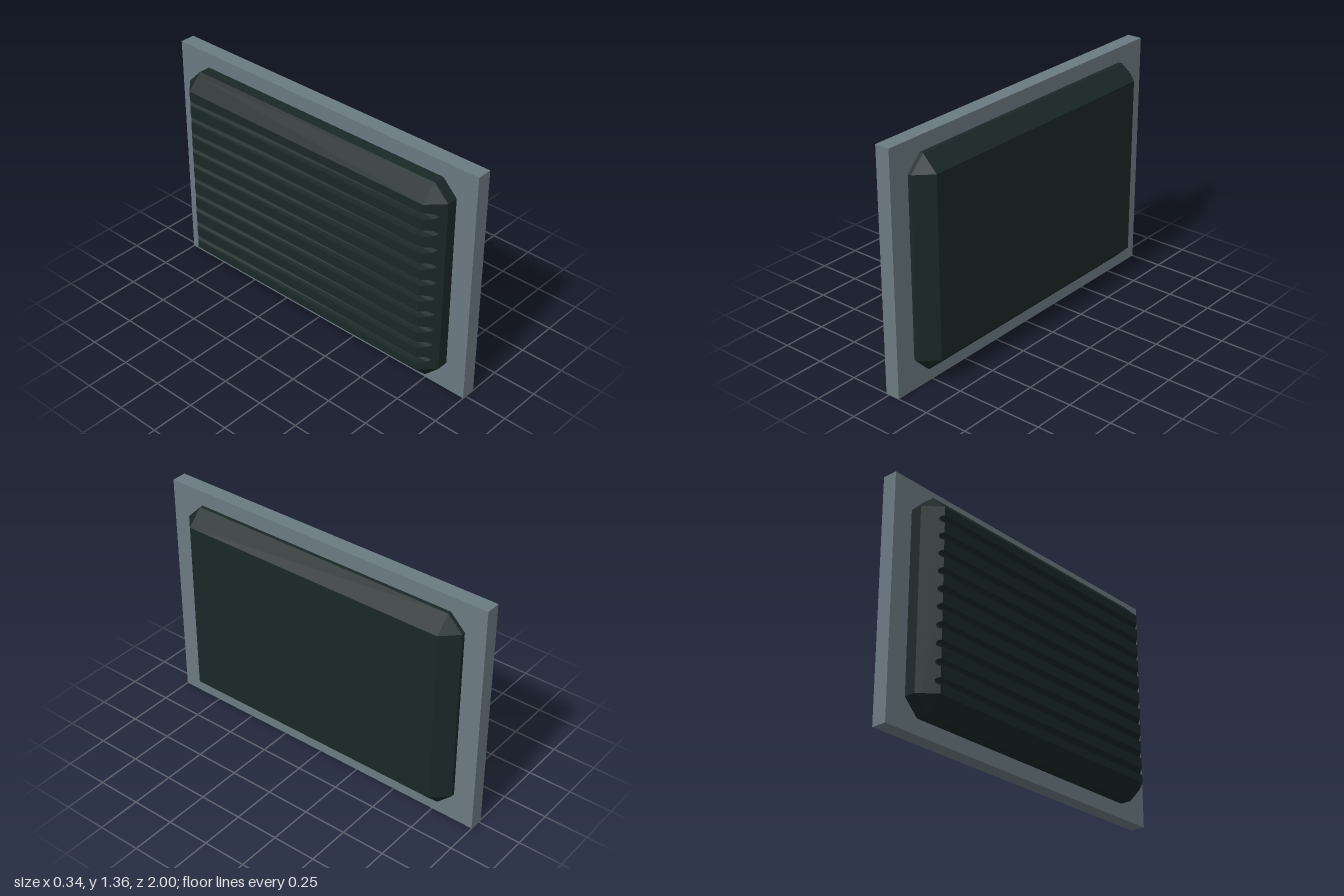
import * as THREE from 'three';
import { ConvexGeometry } from 'three/addons/geometries/ConvexGeometry.js';

const X = 0.17, H = 0.5925, Z = 0.88, C = 0.085; // half sizes and chamfer of the body
const MID = 0.6775;                              // body centre height
const CUT = 0.065;                               // thickness of the grooved layer

const frameMat = new THREE.MeshStandardMaterial({ color: 0x6b7a82 });
const bodyMat = new THREE.MeshStandardMaterial({ color: 0x1a2827, flatShading: true });

function add(group, name, geometry, material) {
  const mesh = new THREE.Mesh(geometry, material);
  mesh.name = name;
  group.add(mesh);
  return mesh;
}

// Points mirrored in y and z about the body centre
function mirrored(points) {
  const out = [];
  for (const [x, y, z] of points)
    for (const sy of [1, -1]) for (const sz of [1, -1])
      out.push(new THREE.Vector3(x, MID + sy * y, sz * z));
  return out;
}

// Layer with rounded grooves; its ends follow the body chamfer
function groovedPanel() {
  const low = MID - H + C, high = MID + H - C, inner = -X + CUT;
  const shape = new THREE.Shape();
  shape.moveTo(inner, low);
  shape.lineTo(inner, high);
  shape.lineTo(-X, high);
  for (let i = 9; i >= 0; i--) {
    const y = 0.235 + i * 0.0978;
    for (let k = 0; k <= 8; k++) {
      const a = (k / 8) * Math.PI;
      shape.lineTo(-X + 0.02 * Math.sin(a), y + 0.02 * Math.cos(a));
    }
  }
  shape.lineTo(-X, low);
  const geometry = new THREE.ExtrudeGeometry(shape, { depth: 2, bevelEnabled: false });
  const p = geometry.attributes.position;
  for (let i = 0; i < p.count; i++) {
    let depth = p.getX(i) + X;
    const front = p.getZ(i) > 1;
    if (front && depth < 0.04) depth *= 2.9; // grooves deepen toward the front
    p.setX(i, depth - X);
    p.setZ(i, (front ? 1 : -1) * (Z - C + depth));
  }
  geometry.computeVertexNormals();
  return geometry;
}

export function createModel() {
  const model = new THREE.Group();
  model.name = 'ventPanel';

  // Flat surrounding plate
  add(model, 'framePlate', new THREE.BoxGeometry(0.085, 1.355, 2), frameMat)
    .position.set(0.0215, 0.6775, 0);

  // Chamfered body behind the grooved layer
  const body = new THREE.Group();
  body.name = 'body';
  model.add(body);
  const y0 = H - C, z0 = Z - C, inner = -X + CUT;
  add(body, 'chamferedCore', new ConvexGeometry(mirrored([
    [X, y0, z0], [X - C, H, z0], [X - C, y0, Z],
    [-X + C, H, z0], [-X + C, y0, Z],
    [inner, y0 + CUT, z0], [inner, y0, z0 + CUT],
  ])), bodyMat);

  // Sloped edges above and below the grooves
  for (const s of [1, -1]) {
    const points = [];
    for (const e of [1, -1]) points.push(
      new THREE.Vector3(-X, MID + s * y0, e * z0),
      new THREE.Vector3(inner, MID + s * (y0 + CUT), e * z0),
      new THREE.Vector3(inner, MID + s * y0, e * (z0 + CUT)));
    add(body, s > 0 ? 'upperEdge' : 'lowerEdge', new ConvexGeometry(points), bodyMat);
  }

  add(body, 'groovedPanel', groovedPanel(), bodyMat);
  return model;
}
